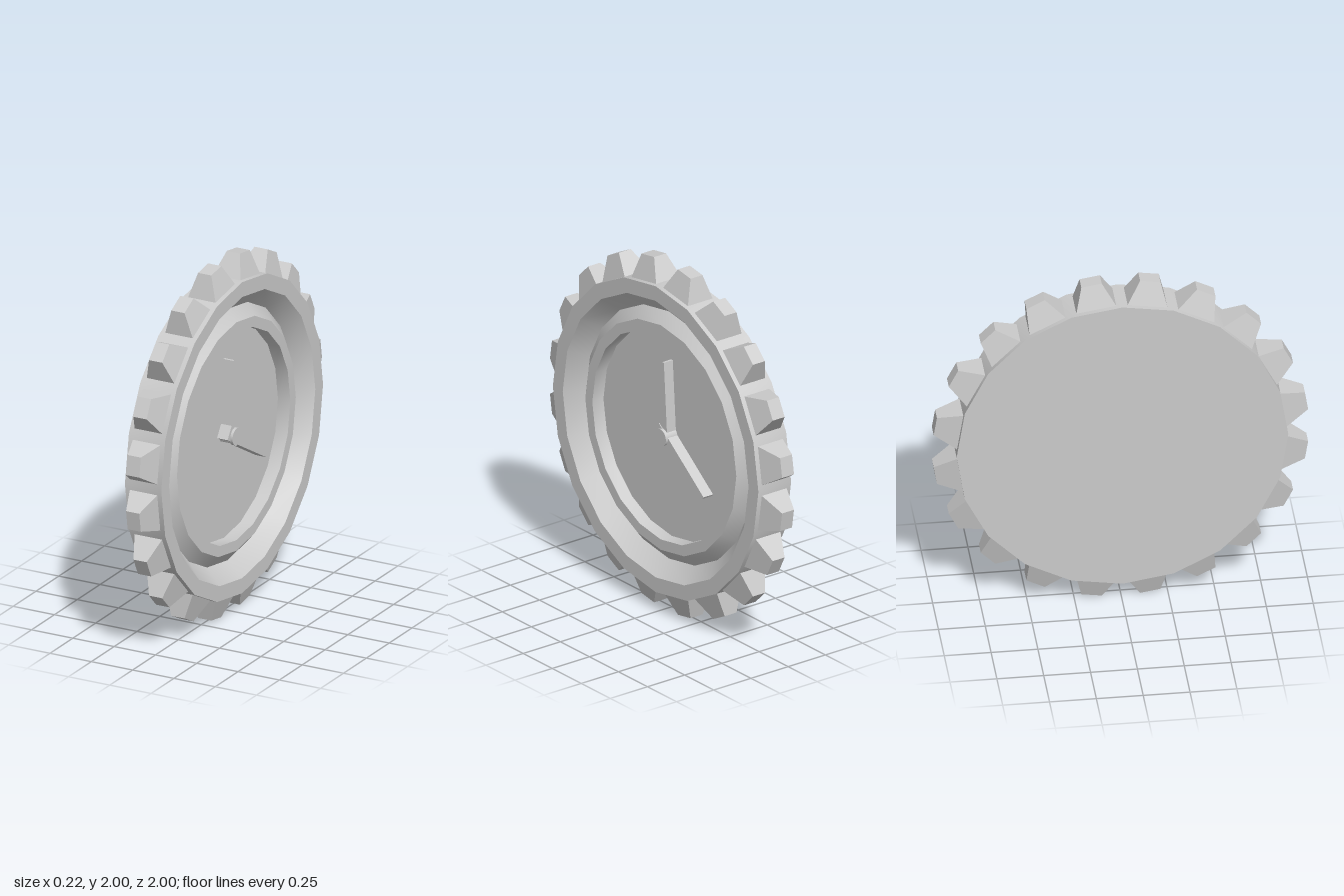
import * as THREE from 'three';
import { toCreasedNormals } from 'three/addons/utils/BufferGeometryUtils.js';

const SIDES = 20;

export function createModel() {
  const model = new THREE.Group();
  model.name = 'cogClock';
  const material = new THREE.MeshStandardMaterial({ color: 0xcccccc });

  // The wheel is built around the origin, its axle along x, then raised to stand on y = 0
  const wheel = new THREE.Group();
  wheel.name = 'wheel';
  wheel.position.y = 1;
  model.add(wheel);

  const add = (name, geometry) => {
    const mesh = new THREE.Mesh(geometry, material);
    mesh.name = name;
    wheel.add(mesh);
    return mesh;
  };

  // Case: flat back, rim, V-groove, raised bezel and recessed dial (radius, height along axle)
  const profile = [
    [0, -0.11], [0.885, -0.11], [0.885, 0.11], [0.8, 0.11], [0.715, 0.02],
    [0.65, 0.075], [0.59, 0.075], [0.59, 0], [0, 0],
  ].map(([r, h]) => new THREE.Vector2(r, h));
  const caseGeometry = new THREE.LatheGeometry(profile, SIDES).rotateZ(-Math.PI / 2);
  add('case', toCreasedNormals(caseGeometry, 0.5));

  // Teeth: one tapered block in the middle of each rim facet
  const inner = 0.868, outer = 1.003;
  const toothGeometry = new THREE.BoxGeometry(0.17, outer - inner, 0.22);
  const p = toothGeometry.attributes.position;
  for (let i = 0; i < p.count; i++) {
    if (p.getY(i) > 0) {
      p.setX(i, Math.sign(p.getX(i)) * 0.04);
      p.setZ(i, Math.sign(p.getZ(i)) * 0.055);
    }
  }
  toothGeometry.translate(0, (inner + outer) / 2, 0);
  const flatTooth = toothGeometry.toNonIndexed();
  flatTooth.computeVertexNormals();
  for (let i = 0; i < SIDES; i++) {
    add('tooth', flatTooth).rotation.x = ((i + 0.5) / SIDES) * Math.PI * 2;
  }

  // Hands: tapered bars with a short tail behind the hub
  const addHand = (name, length, tail, angle, thickness) => {
    const shape = new THREE.Shape([
      new THREE.Vector2(-0.04, -tail), new THREE.Vector2(0.04, -tail),
      new THREE.Vector2(0.007, length), new THREE.Vector2(-0.007, length),
    ]);
    const geometry = new THREE.ExtrudeGeometry(shape, { depth: thickness, bevelEnabled: false });
    add(name, geometry.rotateY(Math.PI / 2)).rotation.x = angle;
  };
  addHand('minuteHand', 0.43, 0.065, 0, 0.06);
  addHand('hourHand', 0.42, 0.065, Math.atan2(-0.353, -0.235), 0.064);

  // Hub at the centre of the dial
  const hub = new THREE.CylinderGeometry(0.048, 0.048, 0.078, 16);
  add('hub', hub.rotateZ(-Math.PI / 2).translate(0.039, 0, 0));

  return model;
}
